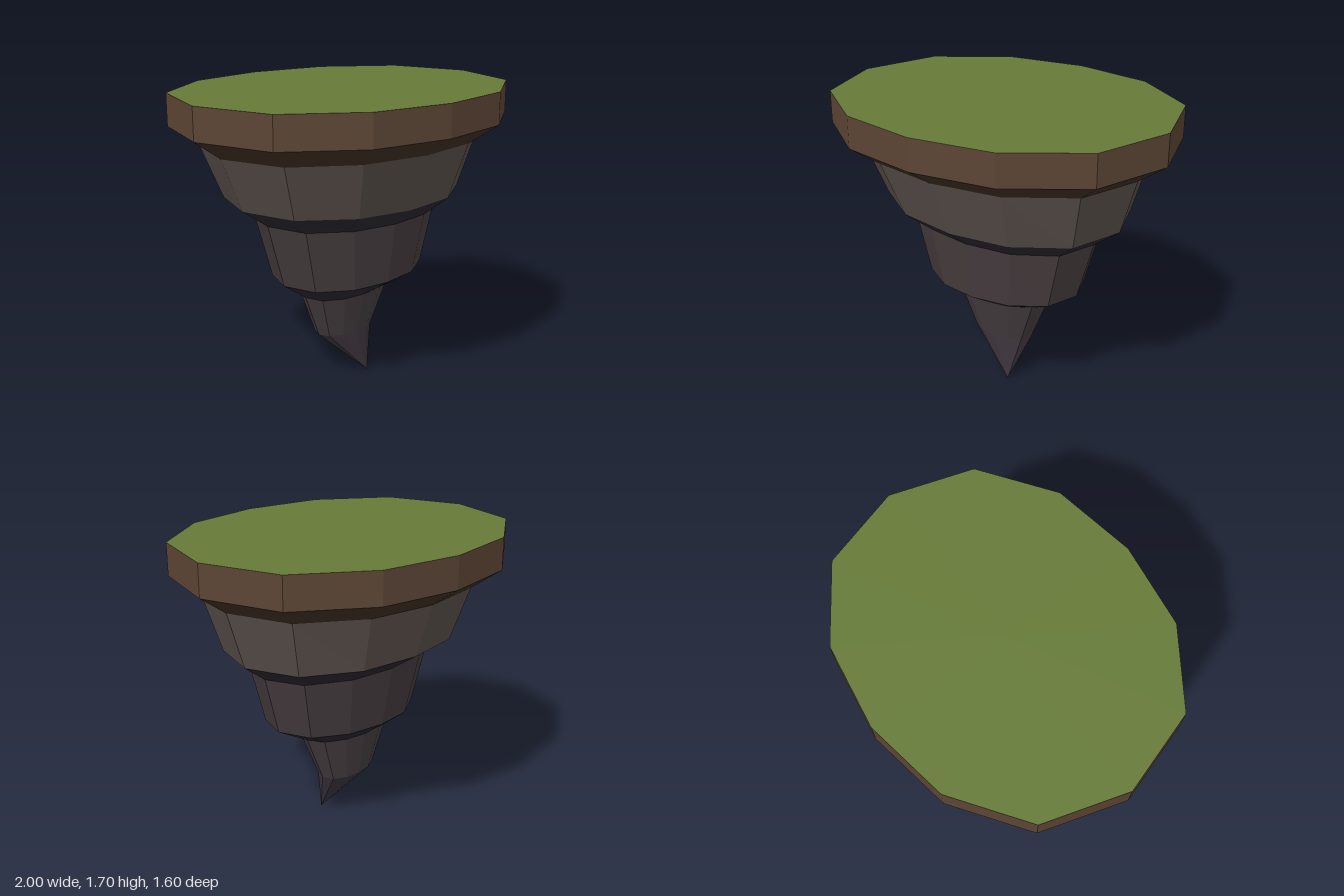
import * as THREE from 'three';

// Unit outline of the island: one quadrant mirrored into twelve corners,
// counter-clockwise seen from above.
const QUARTER = [[1, 0], [0.86, 0.565], [0.47, 0.906]];
const OUTLINE = [];
for (let q = 0; q < 4; q++) {
  for (let k = 0; k < 3; k++) {
    const [x, z] = q % 2 === 0 ? QUARTER[k] : k === 0 ? [0, 1] : QUARTER[3 - k];
    OUTLINE.push([q === 0 || q === 3 ? x : -x, q < 2 ? -z : z]);
  }
}

// A ring of corners: height, half sizes, centre offset and a slight tilt
// (height gained at the +x and +z ends).
function ring(y, rx, rz, cx = 0, cz = 0, tiltX = 0, tiltZ = 0) {
  return OUTLINE.map(([x, z]) =>
    new THREE.Vector3(cx + rx * x, y + tiltX * x + tiltZ * z, cz + rz * z));
}

function facetedMesh(name, color, triangles) {
  const geometry = new THREE.BufferGeometry().setFromPoints(triangles);
  geometry.computeVertexNormals();
  const mesh = new THREE.Mesh(geometry, new THREE.MeshStandardMaterial({ color, flatShading: true }));
  mesh.name = name;
  return mesh;
}

// Side wall between two rings
function band(name, color, upper, lower) {
  const tris = [];
  upper.forEach((a, i) => {
    const j = (i + 1) % upper.length;
    tris.push(a, lower[i], lower[j], a, lower[j], upper[j]);
  });
  return facetedMesh(name, color, tris);
}

// Fan from a ring to a single point, facing up or down
function fan(name, color, points, apex, up) {
  const tris = [];
  points.forEach((p, i) => {
    const next = points[(i + 1) % points.length];
    tris.push(apex, ...(up ? [p, next] : [next, p]));
  });
  return facetedMesh(name, color, tris);
}

export function createModel() {
  const island = new THREE.Group();
  island.name = 'floatingIsland';

  // Rings from the grass edge down to the last one above the tip
  const rings = [
    ring(1.7, 1, 0.8),
    ring(1.52, 1, 0.8),
    ring(1.41, 0.84, 0.64),
    ring(1.1, 0.727, 0.538, 0.018, -0.012, -0.008, -0.008),
    ring(0.992, 0.575, 0.392, 0.025, 0, -0.006, -0.009),
    ring(0.641, 0.478, 0.333, 0.027, 0.008, 0.005, -0.008),
    ring(0.531, 0.295, 0.175, 0.01, -0.005, 0.007, -0.009),
    ring(0.267, 0.188, 0.113, 0.002, -0.008, -0.003, 0.002),
  ];

  // Grass top
  island.add(fan('grassTop', 0x667a38, rings[0], new THREE.Vector3(0, 1.7, 0), true));

  // Soil rim, then rock tiers with dark ledges between them
  const bands = [
    ['soilRim', 0x5c4535],
    ['soilUnderside', 0x3f3025],
    ['upperRock', 0x5a504b],
    ['upperLedge', 0x2b2630],
    ['middleRock', 0x463c3e],
    ['lowerLedge', 0x2b2630],
    ['lowerRock', 0x463d40],
  ];
  bands.forEach(([name, color], i) => island.add(band(name, color, rings[i], rings[i + 1])));

  // Leaning tip
  island.add(fan('rockTip', 0x3d343d, rings[7], new THREE.Vector3(0.1, 0, 0.1), false));

  return island;
}
